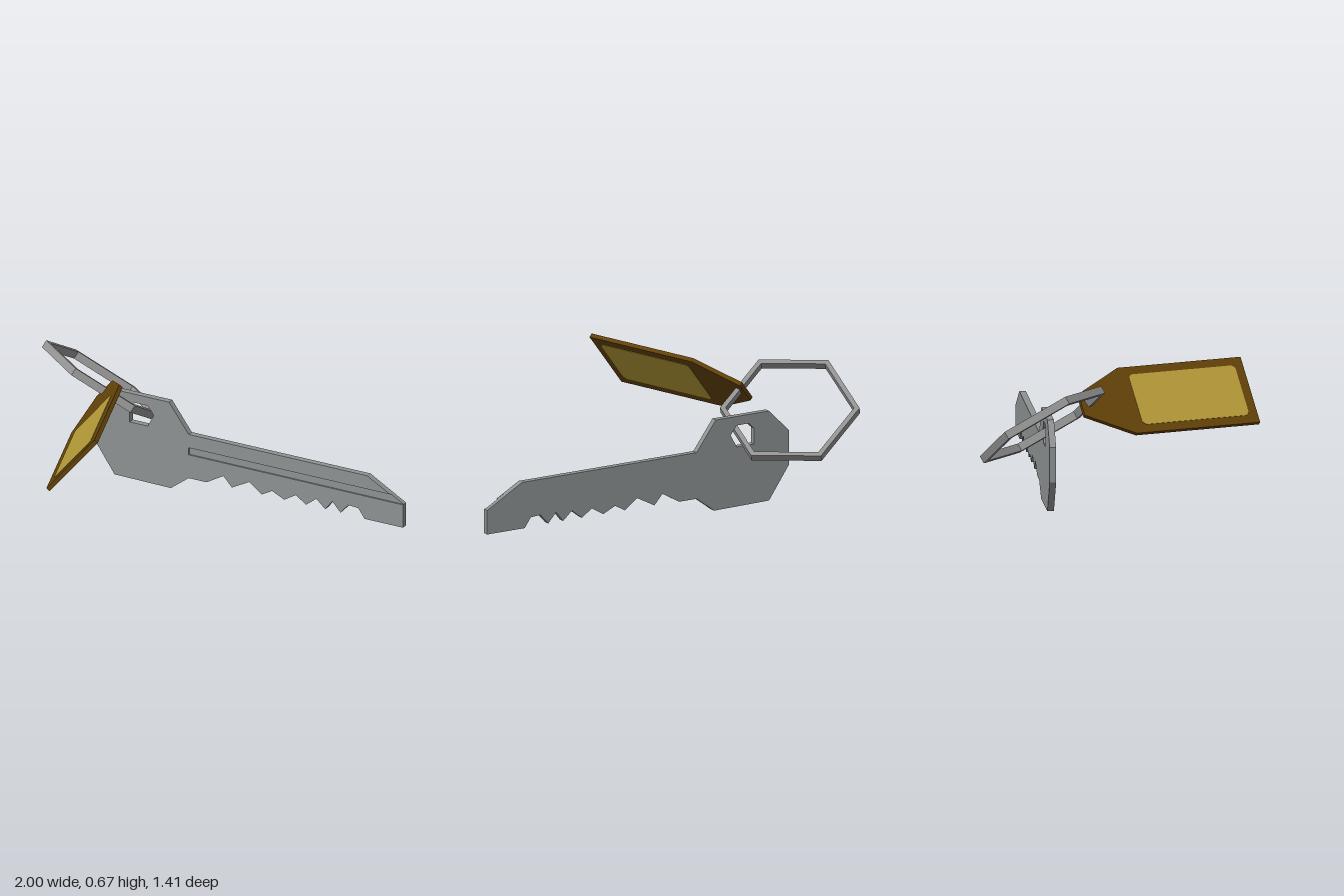
import * as THREE from 'three';

const mat = (name, color) => new THREE.MeshStandardMaterial({ name, color });

const toShape = (pts) => new THREE.Shape(pts.map(([x, y]) => new THREE.Vector2(x, y)));

// Flat plate of the given depth starting at z
function plate(name, shape, z, depth, material) {
  const geo = new THREE.ExtrudeGeometry(shape, { depth, bevelEnabled: false });
  geo.translate(0, 0, z);
  const mesh = new THREE.Mesh(geo, material);
  mesh.name = name;
  return mesh;
}

// Orient a group so its local x lies along u and its local xy plane contains v
function orient(group, u, v, position) {
  const x = new THREE.Vector3(...u).normalize();
  const z = x.clone().cross(new THREE.Vector3(...v)).normalize();
  const y = z.clone().cross(x);
  group.quaternion.setFromRotationMatrix(new THREE.Matrix4().makeBasis(x, y, z));
  group.position.set(...position);
}

const hexagon = (r) => Array.from({ length: 6 }, (_, i) =>
  [r * Math.cos(i * Math.PI / 3), r * Math.sin(i * Math.PI / 3)]);

export function createModel() {
  const model = new THREE.Group();
  const keySteel = mat('key steel', 0x8e9292);
  const ringSteel = mat('ring steel', 0x929292);
  const brown = mat('tag brown', 0x634209);
  const gold = mat('tag gold', 0xb59a38);

  // Key: octagonal head and notched blade
  const teeth = [
    [-0.1, 0.08], [-0.005, 0.135], [0.042, 0.083], [0.14, 0.135], [0.21, 0.083],
    [0.267, 0.115], [0.335, 0.083], [0.4, 0.122], [0.458, 0.083], [0.515, 0.128],
    [0.565, 0.083], [0.605, 0.134], [0.65, 0.083], [0.695, 0.134], [0.737, 0.134 - 0.05],
    [0.75, 0.13], [0.785, 0.08],
  ].filter(([x]) => x !== 0.737);
  const lower = [[-0.73, 0.175], [-0.615, 0.008], [-0.3, 0.004], [-0.2, 0.08], ...teeth, [1, 0.08], [1, 0.203]];
  const upper = [[0.8, 0.316], [-0.2, 0.316], [-0.31, 0.466], [-0.615, 0.466], [-0.73, 0.35]];
  const groove = [[-0.2, 0.206], [-0.2, 0.244], [0.928, 0.244]];
  const ringHole = [[-0.53, 0.31], [-0.53, 0.39], [-0.5, 0.42], [-0.43, 0.42], [-0.395, 0.375], [-0.43, 0.31]];

  const key = new THREE.Group();
  key.name = 'key';
  const backShape = toShape([...lower, ...upper]);
  const frontShape = toShape([...lower, ...groove, ...upper]);
  for (const s of [backShape, frontShape]) s.holes.push(toShape(ringHole));
  key.add(
    plate('keyBody', backShape, -0.366, 0.024, keySteel),
    plate('groovedKeyFace', frontShape, -0.342, 0.008, keySteel),
  );
  model.add(key);

  // Six-sided ring through the key head and the tag
  const ring = new THREE.Group();
  ring.name = 'keyRing';
  const ringShape = toShape(hexagon(0.344));
  ringShape.holes.push(toShape(hexagon(0.316)));
  ring.add(plate('ringBand', ringShape, -0.02, 0.04, ringSteel));
  orient(ring, [0.265, -0.0075, 0.195], [0.005, 0.1625, 0.29], [-0.715, 0.463, -0.4]);
  model.add(ring);

  // Tag: tapered plate with a clipped-corner label on both faces
  const tag = new THREE.Group();
  tag.name = 'tag';
  const tagShape = toShape([
    [0.33, -0.185], [0.33, 0.185], [-0.33, 0.185], [-0.574, 0.06], [-0.574, -0.06], [-0.33, -0.185],
  ]);
  tag.add(plate('tagPlate', tagShape, -0.011, 0.022, brown));
  const w = 0.285, h = 0.141, c = 0.016;
  const labelShape = toShape([
    [w, c - h], [w, h - c], [w - c, h], [c - w, h], [-w, h - c], [-w, c - h], [c - w, -h], [w - c, -h],
  ]);
  tag.add(plate('frontLabel', labelShape, 0.011, 0.002, gold));
  tag.add(plate('backLabel', labelShape, -0.013, 0.002, gold));
  orient(tag, [0.205, 0, 0.625], [0.24, 0.295, -0.075], [-0.4075, 0.5275, 0.3475]);
  model.add(tag);

  return model;
}
